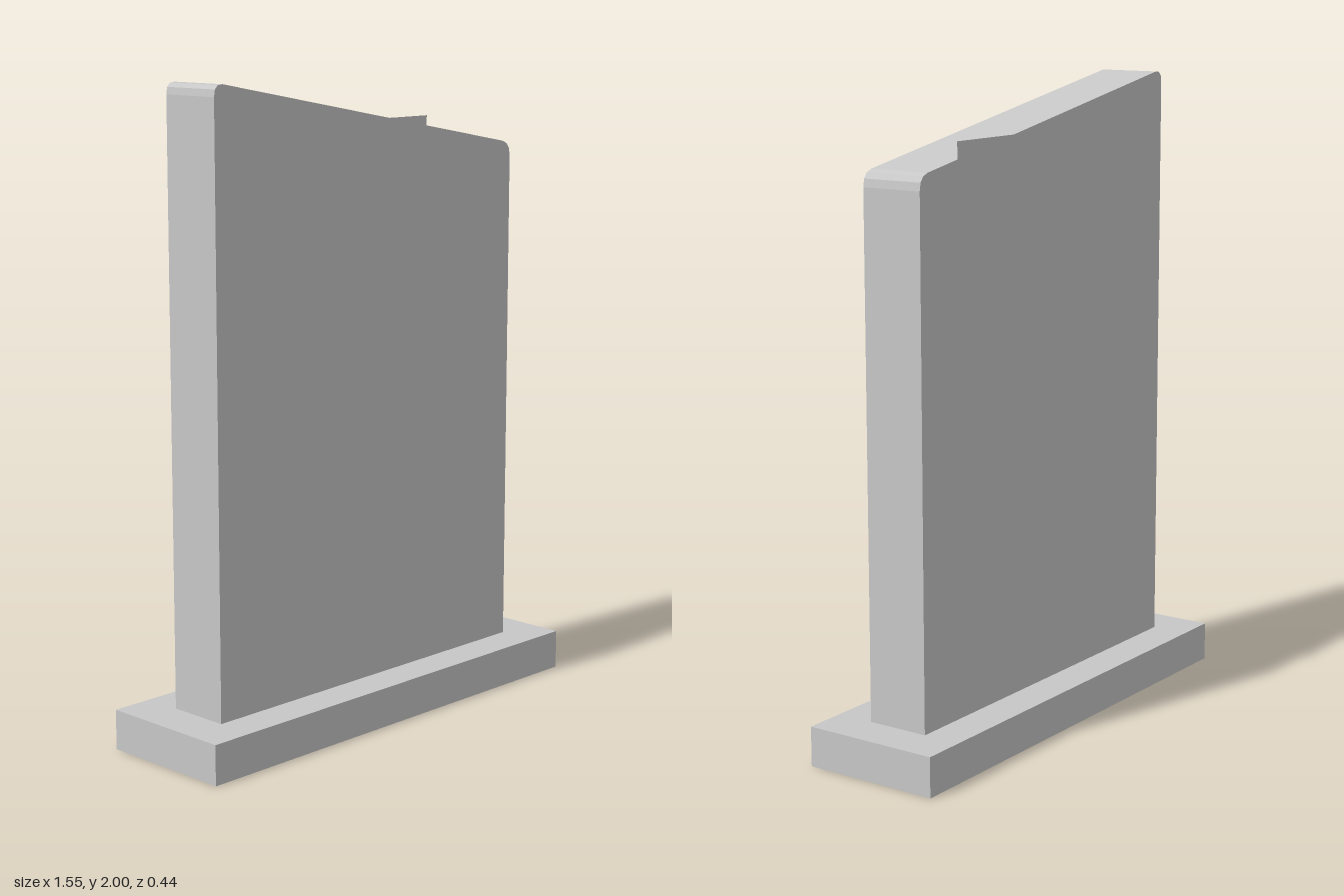
import * as THREE from 'three';

export function createModel() {
  const model = new THREE.Group();
  const stone = new THREE.MeshStandardMaterial({ color: 0xc7c7c7, side: THREE.DoubleSide });
  stone.name = 'paleGrey';

  const add = (name, geometry, x, y, z) => {
    const mesh = new THREE.Mesh(geometry, stone);
    mesh.name = name;
    mesh.position.set(x, y, z);
    model.add(mesh);
    return mesh;
  };

  // Rectangular plinth
  const baseHeight = 0.125;
  add('base', new THREE.BoxGeometry(1.554, baseHeight, 0.444), 0, baseHeight / 2, 0);

  // Upright slab with a sloping top and faceted round upper corners
  const half = 0.643;
  const depth = 0.202;
  const outline = new THREE.Shape();
  outline.moveTo(-half, baseHeight);
  outline.lineTo(half, baseHeight);
  outline.lineTo(half, 1.725);
  outline.quadraticCurveTo(half, 1.768, 0.605, 1.775);
  outline.lineTo(-0.61, 2.0);
  outline.quadraticCurveTo(-half, 2.004, -half, 1.965);
  outline.closePath();
  const slab = new THREE.ExtrudeGeometry(outline, { depth, bevelEnabled: false, curveSegments: 3 });
  add('slab', slab, 0, 0, -depth / 2);

  // Thin panel on the back, one corner standing clear of the sloping top
  const top = 1.853;
  const bottom = 0.3;
  const back = add('backPanel', new THREE.PlaneGeometry(0.94, top - bottom),
    0, (top + bottom) / 2, -depth / 2 - 0.003);
  back.rotation.y = Math.PI;

  return model;
}
